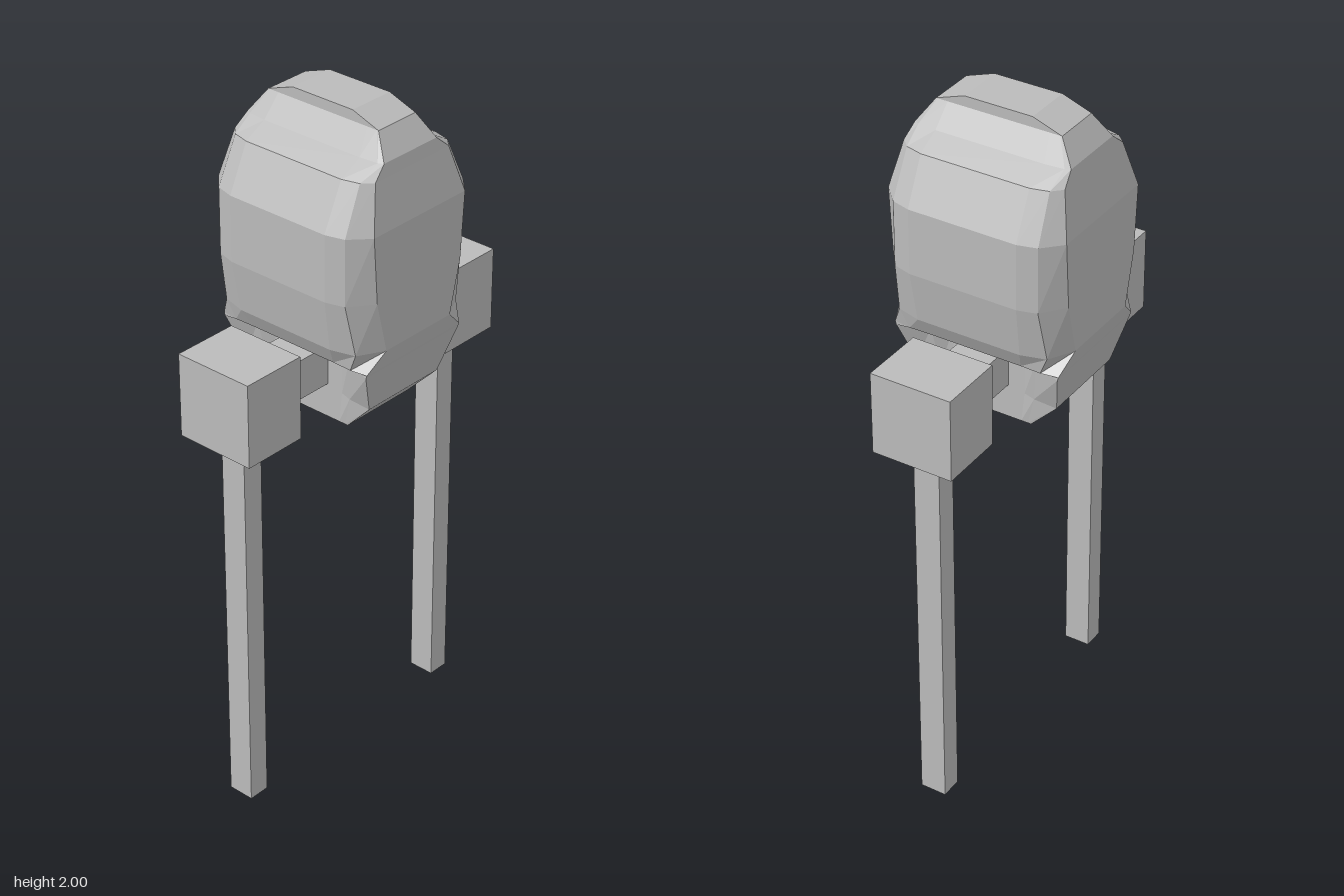
import * as THREE from 'three';

// Hull cross-sections, top to bottom: y, then [x, z] of front edge, corner and side edge
const SECTIONS = [
  [2.0, [0.07, 0.1], [0.07, 0.097], [0.07, 0.09]],
  [1.97, [0.07, 0.185], [0.07, 0.18], [0.07, 0.15]],
  [1.905, [0.1, 0.23], [0.107, 0.215], [0.112, 0.16]],
  [1.87, [0.14, 0.237], [0.167, 0.21], [0.18, 0.16]],
  [1.74, [0.175, 0.265], [0.227, 0.215], [0.242, 0.16]],
  [1.55, [0.162, 0.265], [0.227, 0.215], [0.242, 0.16]],
  [1.4, [0.125, 0.265], [0.198, 0.225], [0.217, 0.155]],
  [1.345, [0.183, 0.25], [0.19, 0.2], [0.188, 0.14]],
  // recess under the side panels where the arms enter
  [1.335, [0.183, 0.247], [0.15, 0.16], [0.12, 0.11]],
  [1.21, [0.135, 0.217], [0.13, 0.145], [0.12, 0.11]],
  [1.12, [0.12, 0.13], [0.12, 0.12], [0.12, 0.1]],
];

// Mirror one quarter section into a closed ring running +x, +z, -x, -z
function ring([y, a, b, c]) {
  const q = [c, b, a];
  const r = [...q].reverse();
  return [
    ...q.map(([x, z]) => [x, y, z]),
    ...r.map(([x, z]) => [-x, y, z]),
    ...q.map(([x, z]) => [-x, y, -z]),
    ...r.map(([x, z]) => [x, y, -z]),
  ];
}

function loft(sections) {
  const rings = sections.map(ring);
  const n = rings[0].length;
  const pos = [];
  const tri = (a, b, c) => pos.push(...a, ...b, ...c);
  for (let s = 0; s < rings.length - 1; s++) {
    const up = rings[s], low = rings[s + 1];
    for (let i = 0; i < n; i++) {
      const j = (i + 1) % n;
      tri(low[i], up[i], low[j]);
      tri(low[j], up[i], up[j]);
    }
  }
  // flat top and bottom caps
  const top = rings[0], bottom = rings[rings.length - 1];
  for (let i = 1; i < n - 1; i++) {
    tri(top[0], top[i + 1], top[i]);
    tri(bottom[0], bottom[i], bottom[i + 1]);
  }
  const geo = new THREE.BufferGeometry();
  geo.setAttribute('position', new THREE.Float32BufferAttribute(pos, 3));
  geo.computeVertexNormals();
  return geo;
}

export function createModel() {
  const group = new THREE.Group();
  const grey = new THREE.MeshStandardMaterial({ color: 0xbbbbbb, flatShading: true });
  grey.name = 'grey';

  const add = (name, geo, parent = group) => {
    const mesh = new THREE.Mesh(geo, grey);
    mesh.name = name;
    parent.add(mesh);
    return mesh;
  };
  // Box given by its extents in x and y, and its depth about z = 0
  const box = (name, x0, x1, y0, y1, depth, parent) =>
    add(name, new THREE.BoxGeometry(x1 - x0, y1 - y0, depth), parent)
      .position.set((x0 + x1) / 2, (y0 + y1) / 2, 0);

  add('body', loft(SECTIONS));

  // Arm, hip block and leg on each side
  for (const [side, s] of [['left', 1], ['right', -1]]) {
    const limb = new THREE.Group();
    limb.name = side + 'Limb';
    group.add(limb);
    const span = (a, b) => (s > 0 ? [a, b] : [-b, -a]);
    box(side + 'Arm', ...span(0.1, 0.292), 1.22, 1.335, 0.122, limb);
    box(side + 'Hip', ...span(0.29, 0.484), 1.155, 1.398, 0.24, limb);
    box(side + 'Leg', ...span(0.355, 0.419), 0, 1.157, 0.078, limb);
  }
  return group;
}
